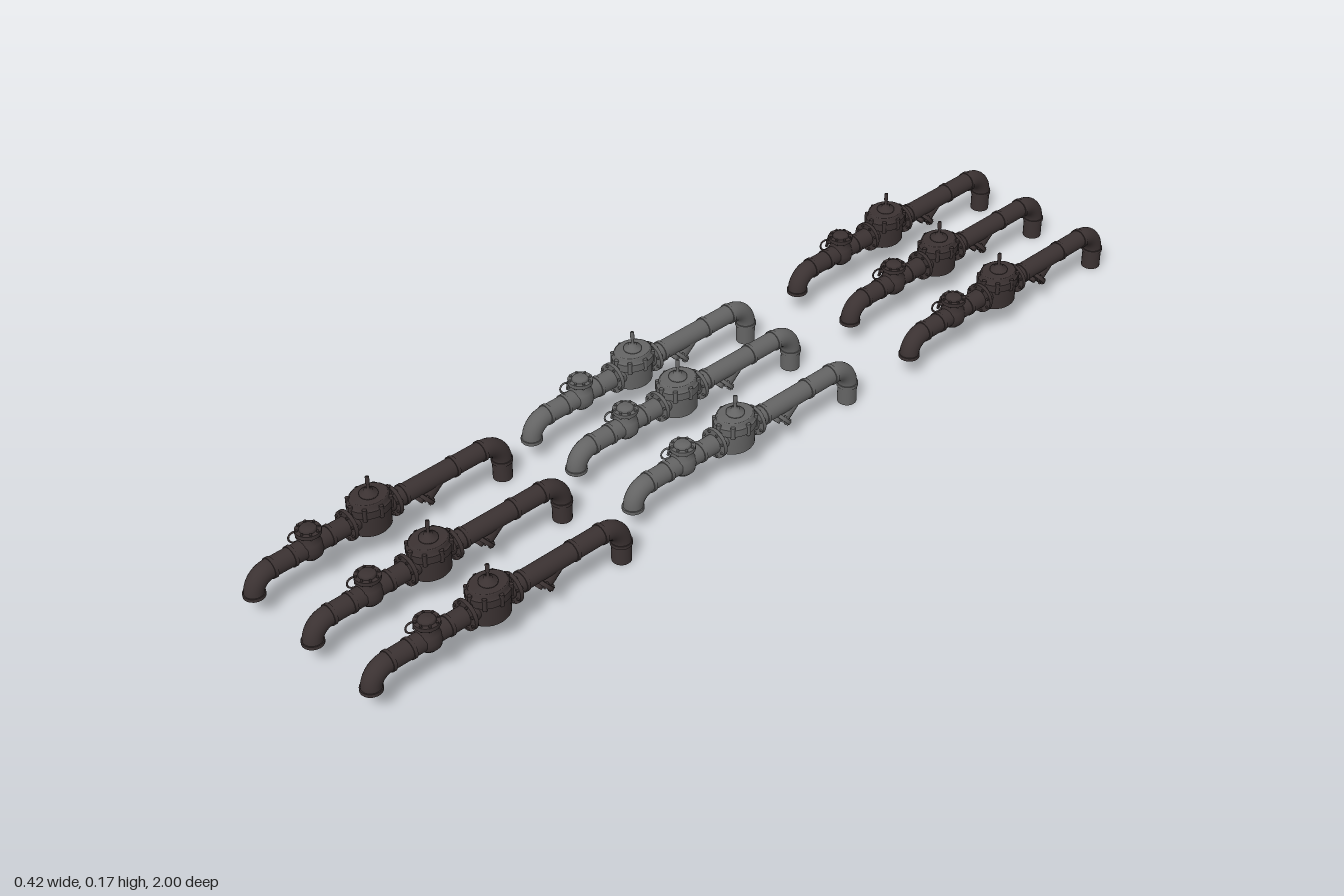
import * as THREE from 'three';

const AXIS = 0.088, R = 0.0195;   // pipe centre height and radius
const V = (x, y, z) => new THREE.Vector3(x, y, z);

function mesh(name, geometry, material, parent, x = 0, y = 0, z = 0) {
  const m = new THREE.Mesh(geometry, material);
  m.name = name;
  m.position.set(x, y, z);
  parent.add(m);
  return m;
}

// Line with a rounded elbow at both ends, front end at z = 0
function pipeGeometry() {
  const zf = -R, zb = -0.617 + R, rf = 0.036, rb = 0.045, k = 0.45;
  const path = new THREE.CurvePath();
  const a = V(0, 0.048, zf), b = V(0, AXIS - rf, zf), c = V(0, AXIS, zf - rf);
  const d = V(0, AXIS, zb + rb), e = V(0, AXIS - rb, zb), f = V(0, 0, zb);
  path.add(new THREE.LineCurve3(a, b));
  path.add(new THREE.CubicBezierCurve3(b, V(0, AXIS - rf * k, zf), V(0, AXIS, zf - rf * k), c));
  path.add(new THREE.LineCurve3(c, d));
  path.add(new THREE.CubicBezierCurve3(d, V(0, AXIS, zb + rb * k), V(0, AXIS - rb * k, zb), e));
  path.add(new THREE.LineCurve3(e, f));
  return new THREE.TubeGeometry(path, 90, R, 20);
}

// Shared shapes
const cyl = (r1, r2, h, n = 20) => new THREE.CylinderGeometry(r1, r2, h, n);
const lathe = pts => new THREE.LatheGeometry(pts.map(p => new THREE.Vector2(...p)), 28);

function makeLine(mat, geo) {
  const line = new THREE.Group();

  // Pipe run, closed ends and joint collars
  mesh('pipe', geo.pipe, mat, line);
  mesh('frontPipeEnd', geo.collar, mat, line, 0, 0.051, -R);
  mesh('rearPipeEnd', geo.pipeEnd, mat, line, 0, 0.004, -0.617 + R);
  mesh('rearElbowCollar', geo.collar, mat, line, 0, 0.042, -0.617 + R);
  for (const z of [-0.06, -0.105, -0.19, -0.36, -0.48, -0.548]) {
    mesh('pipeCollar', geo.collar, mat, line, 0, AXIS, z).rotation.x = Math.PI / 2;
  }

  // Bolted flange built around its own y axis
  const flange = (name, x, y, z, tilt, radius) => {
    const g = new THREE.Group();
    g.name = name;
    g.position.set(x, y, z);
    g.rotation.x = tilt;
    const s = radius / 0.03;
    mesh('flangeDisc', geo.flange, mat, g).scale.set(s, 1, s);
    for (let i = 0; i < 8; i++) {
      const t = (i + 0.5) * Math.PI / 4;
      mesh('bolt', geo.bolt, mat, g, Math.cos(t) * radius * 0.84, 0, Math.sin(t) * radius * 0.84);
    }
    line.add(g);
  };

  // Shut-off valve with round top and a ring handle on its right side
  const vz = -0.147;
  mesh('valveBody', geo.valve, mat, line, 0, 0, vz);
  flange('valveTop', 0, 0.124, vz, 0, 0.025);
  mesh('handleStem', geo.handleStem, mat, line, -0.025, 0.098, vz).rotation.z = Math.PI / 2;
  mesh('handleRing', geo.ring, mat, line, -0.035, 0.092, vz + 0.008).rotation.set(0, Math.PI / 2 - 0.3, 0);
  mesh('handleArm', geo.arm, mat, line, -0.035, 0.099, vz).rotation.z = -0.25;

  // Control body: drum, lid and spindle
  const bz = -0.285;
  mesh('drum', geo.drum, mat, line, 0, 0, bz).scale.z = 1.18;
  for (let i = 0; i < 8; i++) {
    const t = i * Math.PI / 4;
    mesh('drumLug', geo.lug, mat, line, Math.cos(t) * 0.036, 0.112, bz + Math.sin(t) * 0.043);
  }
  mesh('spindle', geo.spindle, mat, line, 0, 0, bz);
  flange('frontBodyFlange', 0, AXIS, bz + 0.054, Math.PI / 2, 0.031);
  flange('rearBodyFlange', 0, AXIS, bz - 0.05, Math.PI / 2, 0.031);

  // Strainer: slanted branch closed by a bolted cap
  const tilt = 0.85;
  mesh('strainerBranch', geo.branch, mat, line, 0, 0.073, -0.425).rotation.x = -tilt;
  flange('strainerCap', 0, 0.062, -0.403, -tilt, 0.028);
  mesh('strainerPlug', geo.plug, mat, line, 0, 0.057, -0.397).rotation.x = -tilt;
  return line;
}

export function createModel() {
  const dark = new THREE.MeshStandardMaterial({ name: 'dark iron', color: 0x3b3232 });
  const grey = new THREE.MeshStandardMaterial({ name: 'grey steel', color: 0x646464 });
  const geo = {
    pipe: pipeGeometry(),
    pipeEnd: cyl(R, R, 0.008),
    collar: cyl(0.0215, 0.0215, 0.007),
    flange: cyl(0.03, 0.03, 0.008, 24),
    bolt: cyl(0.0028, 0.0028, 0.014, 6),
    valve: lathe([[0, 0.062], [0.015, 0.064], [0.024, 0.074], [0.026, 0.088], [0.023, 0.102],
      [0.017, 0.11], [0.017, 0.129], [0.014, 0.133], [0, 0.134]]),
    handleStem: cyl(0.004, 0.004, 0.026, 10),
    ring: new THREE.TorusGeometry(0.012, 0.002, 6, 20),
    arm: new THREE.BoxGeometry(0.004, 0.034, 0.006),
    drum: lathe([[0, 0.058], [0.033, 0.058], [0.033, 0.058], [0.035, 0.061], [0.035, 0.103],
      [0.035, 0.103], [0.038, 0.103], [0.038, 0.103], [0.038, 0.119], [0.038, 0.119],
      [0.034, 0.121], [0.034, 0.129], [0.031, 0.131], [0.031, 0.131], [0, 0.132]]),
    lug: cyl(0.0045, 0.0045, 0.026, 8),
    spindle: lathe([[0, 0.13], [0.018, 0.13], [0.018, 0.135], [0.009, 0.138], [0.008, 0.143],
      [0.003, 0.144], [0.003, 0.155], [0.004, 0.156], [0.004, 0.171], [0, 0.171]]),
    branch: cyl(0.018, 0.018, 0.05),
    plug: cyl(0.01, 0.01, 0.01, 6),
  };

  // Three rows of three lines, each row given by its front end and x positions
  const rows = [
    { name: 'frontRow', z: 1.0, xs: [-0.171, 0.003, 0.169], mat: dark },
    { name: 'middleRow', z: 0.346, xs: [-0.171, -0.041, 0.1185], mat: grey },
    { name: 'rearRow', z: -0.383, xs: [-0.171, -0.019, 0.146], mat: dark },
  ];
  const model = new THREE.Group();
  model.name = 'pipeLines';
  for (const row of rows) {
    const group = new THREE.Group();
    group.name = row.name;
    row.xs.forEach((x, i) => {
      const line = makeLine(row.mat, geo);
      line.name = 'pipeLine' + (i + 1);
      line.position.set(x, 0, row.z);
      group.add(line);
    });
    model.add(group);
  }
  return model;
}
